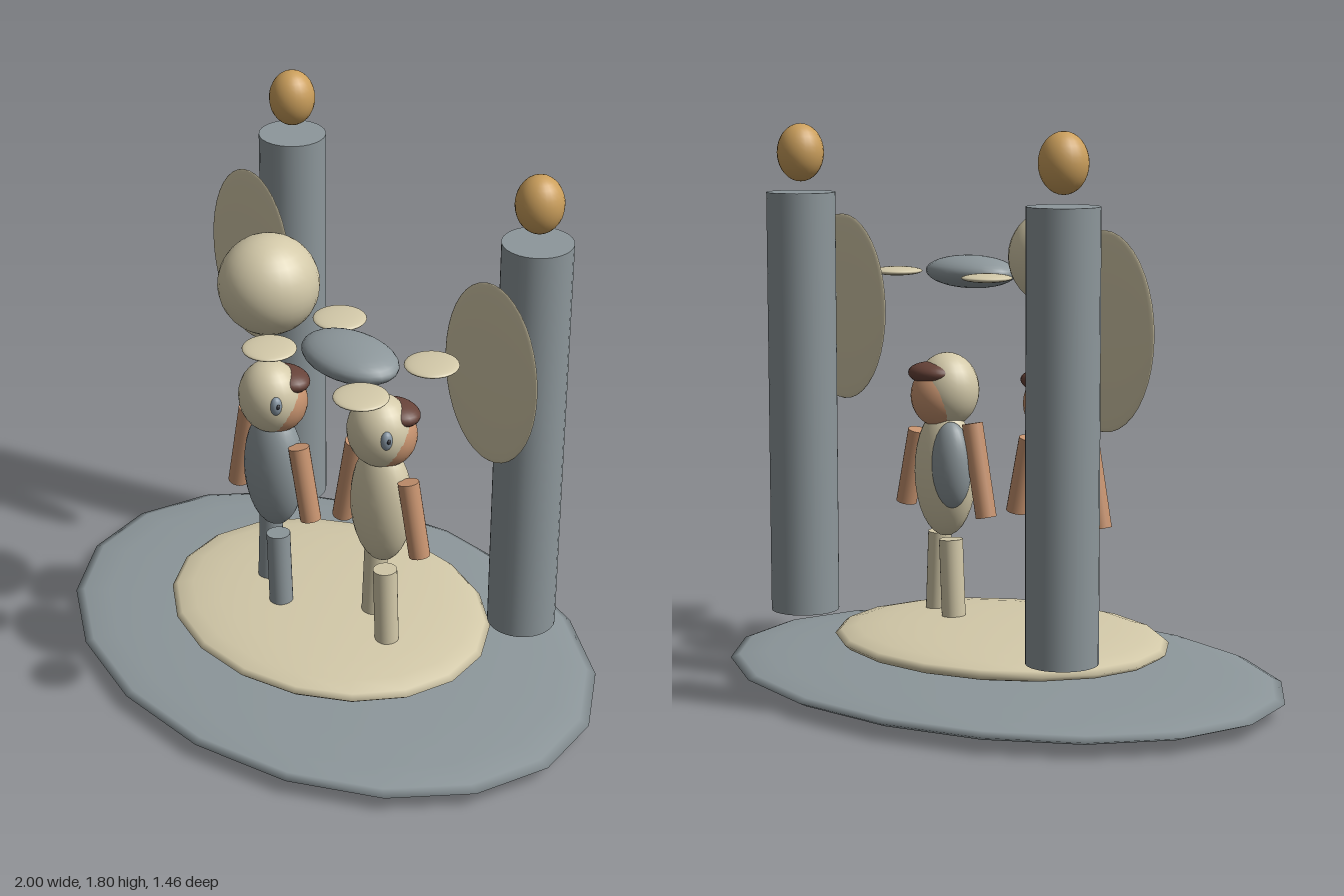
import * as THREE from 'three';

const mat = (name, color) => {
  const m = new THREE.MeshStandardMaterial({ color });
  m.name = name;
  return m;
};

export function createModel() {
  const grey = mat('stone grey', 0x8d979b);
  const cream = mat('cream', 0xd3c9a9);
  const gold = mat('gold', 0xcb9f5c);
  const skin = mat('skin', 0xc7936f);
  const brown = mat('hair brown', 0x674339);
  const eyeGrey = mat('eye grey', 0x8796a3);
  const dark = mat('pupil dark', 0x2e3036);

  const model = new THREE.Group();
  model.name = 'monument';

  // Ellipsoid from a centre and three radii
  const ball = (parent, name, material, pos, radii, w = 24, h = 16) => {
    const mesh = new THREE.Mesh(new THREE.SphereGeometry(1, w, h).scale(...radii), material);
    mesh.name = name;
    mesh.position.set(...pos);
    parent.add(mesh);
    return mesh;
  };

  // Cylinder running between two points
  const rod = (parent, name, material, a, b, r, sides = 20) => {
    const from = new THREE.Vector3(...a);
    const dir = new THREE.Vector3(...b).sub(from);
    const mesh = new THREE.Mesh(new THREE.CylinderGeometry(r, r, dir.length(), sides), material);
    mesh.name = name;
    mesh.position.copy(from).addScaledVector(dir, 0.5);
    mesh.quaternion.setFromUnitVectors(new THREE.Vector3(0, 1, 0), dir.normalize());
    parent.add(mesh);
    return mesh;
  };

  // Stacked lens-shaped bases
  ball(model, 'groundBase', grey, [0, 0.05, 0], [1, 0.05, 0.74], 18, 12);
  ball(model, 'stage', cream, [0, 0.155, 0], [0.58, 0.058, 0.48], 18, 12);

  // Pillars with finials and oval shields
  for (const [side, s] of [['left', 1], ['right', -1]]) {
    rod(model, side + 'Pillar', grey, [s * 0.55, 0.225, -0.34], [s * 0.55, 1.58, -0.34], 0.11, 28);
    ball(model, side + 'Finial', gold, [s * 0.55, 1.705, -0.34], [0.075, 0.092, 0.075]);
    ball(model, side + 'Shield', cream, [s * 0.55, 1.2, -0.155], [0.193, 0.302, 0.015], 32, 20);
  }

  // Floating globe
  ball(model, 'globe', cream, [-0.09, 1.377, 0.17], [0.158, 0.158, 0.158], 28, 18);

  // Hovering craft with four rotors
  const craft = new THREE.Group();
  craft.name = 'hoverCraft';
  craft.position.set(0.32, 1.303, 0.21);
  model.add(craft);
  ball(craft, 'craftBody', grey, [0, 0, 0], [0.175, 0.054, 0.116]);
  for (const x of [-0.2, 0.2]) {
    for (const z of [-0.143, 0.143]) ball(craft, 'rotor', cream, [x, 0, z], [0.083, 0.014, 0.083]);
  }

  // Standing figure; suit is the colour of torso and legs
  const figure = (name, suit, x, z) => {
    const g = new THREE.Group();
    g.name = name;
    g.position.set(x, 0, z);
    model.add(g);
    ball(g, 'torso', suit, [0, 0.67, 0], [0.112, 0.212, 0.086]);
    ball(g, 'backpack', grey, [-0.06, 0.7, -0.035], [0.07, 0.142, 0.06]);
    ball(g, 'head', skin, [0.015, 0.92, -0.008], [0.094, 0.104, 0.096]);
    ball(g, 'helmet', cream, [0, 0.938, 0.012], [0.107, 0.121, 0.1]);
    ball(g, 'hair', brown, [0.025, 0.994, -0.035], [0.086, 0.037, 0.066]);
    ball(g, 'eye', eyeGrey, [0.084, 0.953, 0.062], [0.018, 0.032, 0.02], 14, 10);
    ball(g, 'pupil', dark, [0.1, 0.957, 0.067], [0.005, 0.009, 0.007], 10, 8);
    rod(g, 'rightArm', skin, [-0.12, 0.84, 0], [-0.18, 0.54, 0], 0.034);
    rod(g, 'leftArm', skin, [0.12, 0.795, 0], [0.176, 0.55, 0], 0.034);
    for (const s of [-1, 1]) {
      rod(g, s > 0 ? 'leftLeg' : 'rightLeg', suit,
        [s * 0.06, 0.46, s * 0.038], [s * 0.072, 0.2, s * 0.038], 0.039);
    }
  };
  figure('greyFigure', grey, -0.15, 0.105);
  figure('creamFigure', cream, 0.24, -0.003);

  return model;
}
